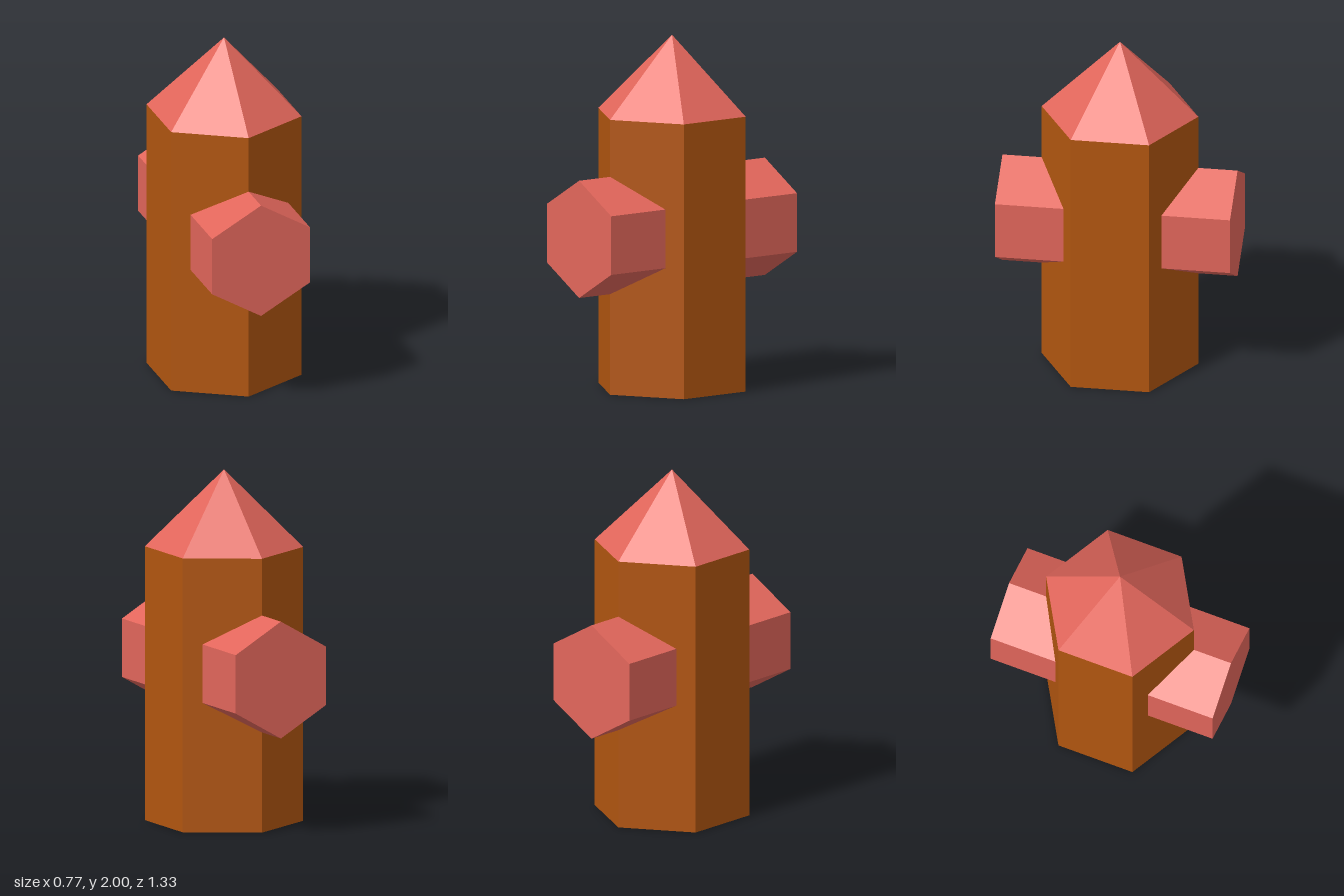
import * as THREE from 'three';

export function createModel() {
  const model = new THREE.Group();

  const brown = new THREE.MeshStandardMaterial({ color: 0xb25610, flatShading: true, side: THREE.DoubleSide });
  brown.name = 'brown';
  const salmon = new THREE.MeshStandardMaterial({ color: 0xe2665b, flatShading: true });
  salmon.name = 'salmon';

  const radius = 0.444, bodyHeight = 1.56;

  function add(name, geometry, material, y) {
    const mesh = new THREE.Mesh(geometry, material);
    mesh.name = name;
    mesh.position.y = y;
    model.add(mesh);
    return mesh;
  }

  // Hollow six-sided post, open underneath
  add('body', new THREE.CylinderGeometry(radius, radius, bodyHeight, 6, 1, true), brown, bodyHeight / 2);

  // Pointed cap
  const capHeight = 2 - bodyHeight;
  add('cap', new THREE.ConeGeometry(radius, capHeight, 6), salmon, bodyHeight + capHeight / 2);

  // Six-sided bar through the post, forming the front and back outlets
  const bar = new THREE.CylinderGeometry(0.333, 0.333, 1.333, 6).rotateX(Math.PI / 2);
  add('outletBar', bar, salmon, 0.904);

  return model;
}
